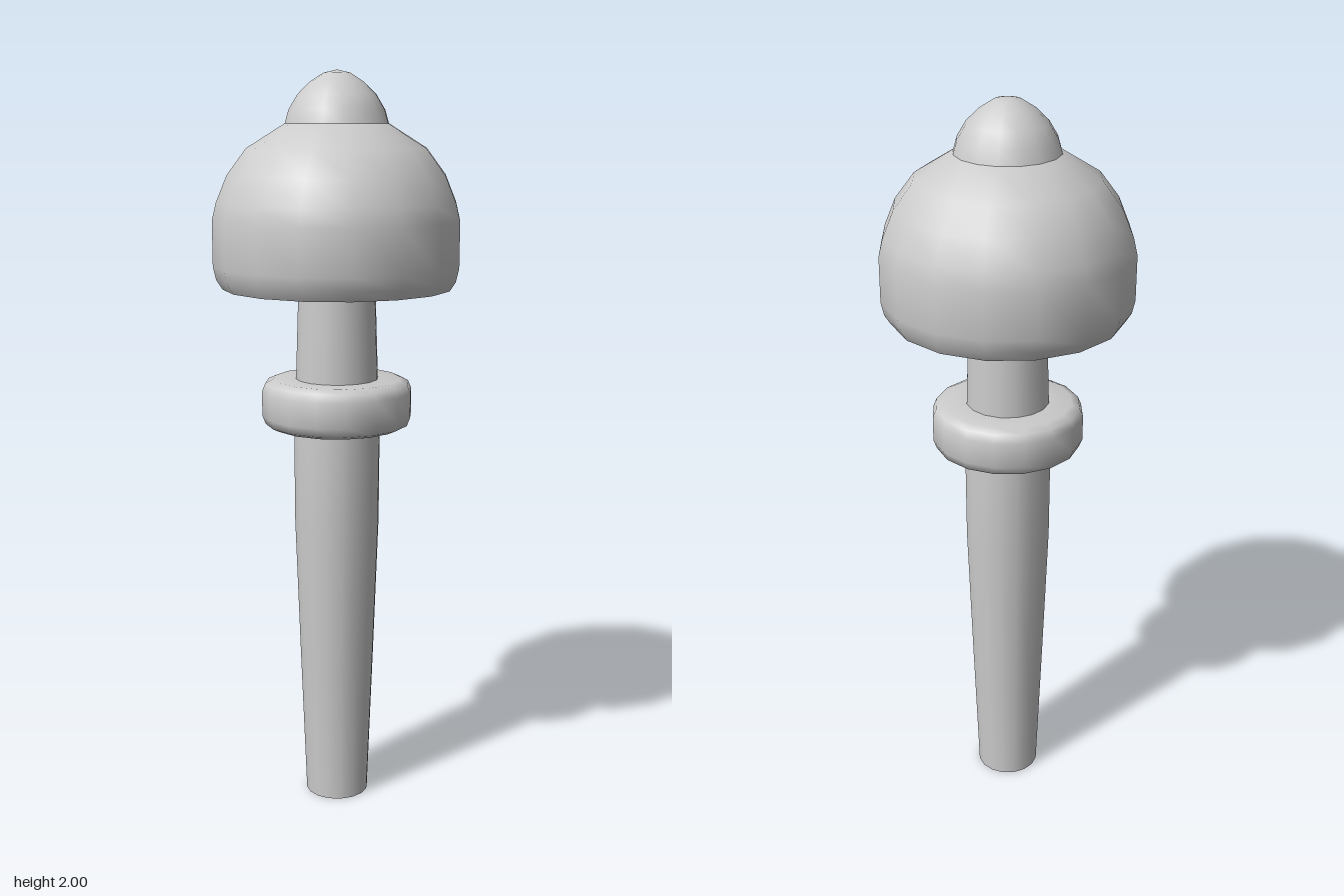
import * as THREE from 'three';
import { toCreasedNormals } from 'three/addons/utils/BufferGeometryUtils.js';

const SIDES = 16;

// Turns a [radius, height] profile, listed bottom to top, into a named mesh
function turned(name, profile, side = THREE.FrontSide) {
  const points = profile.map(([r, y]) => new THREE.Vector2(r, y));
  const geometry = toCreasedNormals(new THREE.LatheGeometry(points, SIDES), 1);
  const material = new THREE.MeshStandardMaterial({ color: 0xcccccc, side });
  const mesh = new THREE.Mesh(geometry, material);
  mesh.name = name;
  return mesh;
}

export function createModel() {
  const model = new THREE.Group();
  model.name = 'mushroomPeg';

  // Tapered stem, closed at the foot and running up inside the cap
  model.add(turned('stem', [
    [0, 0], [0.087, 0], [0.102, 0.4], [0.116, 0.8], [0.117, 1.03],
    [0.111, 1.2], [0.103, 1.45], [0.094, 1.7], [0.09, 1.87],
  ]));

  // Collar ring with rounded edges
  model.add(turned('collar', [
    [0.1, 1.065], [0.172, 1.065], [0.194, 1.075], [0.203, 1.098],
    [0.203, 1.165], [0.194, 1.187], [0.172, 1.197], [0.1, 1.197],
  ]));

  // Thin hollow cap, open underneath with a slightly tucked rim
  model.add(turned('cap', [
    [0.304, 1.44], [0.32, 1.465], [0.328, 1.5], [0.328, 1.62], [0.317, 1.665],
    [0.288, 1.735], [0.237, 1.803], [0.137, 1.865], [0, 1.89],
  ], THREE.DoubleSide));

  // Rounded knob on top
  model.add(turned('knob', [
    [0.137, 1.862], [0.126, 1.9], [0.103, 1.938], [0.07, 1.97],
    [0.035, 1.992], [0, 2],
  ]));

  return model;
}
